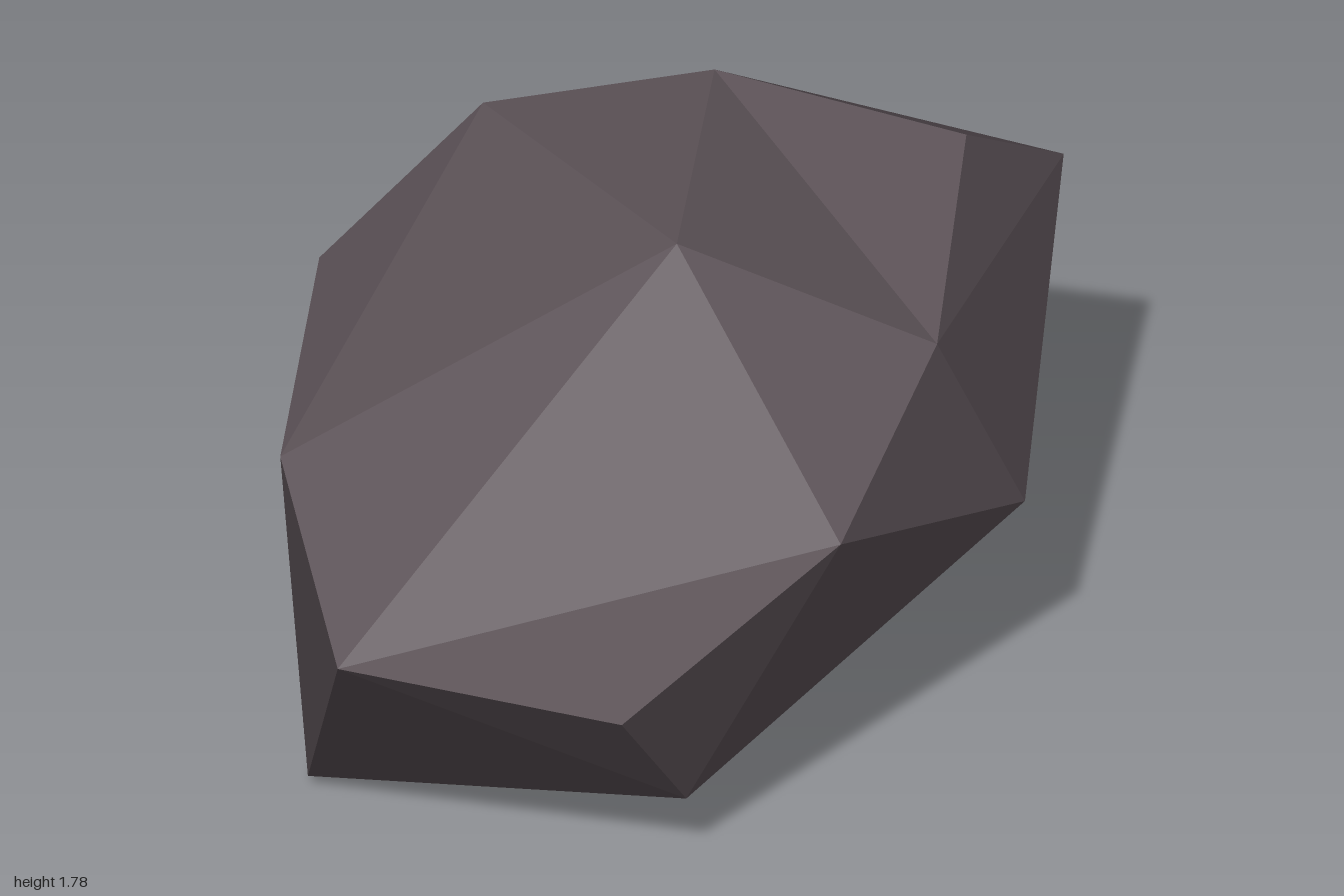
import * as THREE from 'three';

// Corners of an irregular twelve-sided boulder
const corners = {
  A: [0.05, 1.78, 0.24], B: [-0.49, 1.67, -0.43], C: [0.08, 1.75, -0.51], D: [0.71, 1.61, -0.48],
  E: [0.69, 1.43, 0.14], F: [0.49, 1.15, 0.61], G: [-0.73, 0.98, 1.0], H: [-0.03, 0.78, 0.91],
  I: [0.1, 0.28, 0.55], J: [0.04, 0, 0.04], K: [-0.87, 0.04, 0.23], L: [-0.92, 1.21, 0.45],
  M: [-0.88, 1.32, -0.22], N: [0.92, 1.27, -0.86], O: [0.89, 0.78, -0.08], P: [0.01, 1.24, -1.0],
  Q: [0.515, 0.6, -0.81], R: [-0.02, 0.13, -0.53], S: [-0.88, 0.8, -0.49], Z: [-0.58, 0.32, -0.6],
};

// Five-cornered facets, each split as a fan from its first corner
const facets = [
  'CBAED', 'FEAGH', 'EFOND', 'NQPCD', 'LGABM', 'BCPSM', // upper half
  'GLKIH', 'IJOFH', 'SZKLM', 'JIKZR', 'QNOJR', 'PQRZS', // lower half
];

function facetedGeometry() {
  const positions = [];
  for (const f of facets) {
    for (let i = 1; i < f.length - 1; i++) {
      positions.push(...corners[f[0]], ...corners[f[i]], ...corners[f[i + 1]]);
    }
  }
  const geometry = new THREE.BufferGeometry();
  geometry.setAttribute('position', new THREE.Float32BufferAttribute(positions, 3));
  geometry.computeVertexNormals(); // unshared corners give flat facets
  return geometry;
}

export function createModel() {
  const stone = new THREE.MeshStandardMaterial({ color: 0x5b5156, flatShading: true });
  stone.name = 'darkStone';

  const boulder = new THREE.Mesh(facetedGeometry(), stone);
  boulder.name = 'boulder';

  const group = new THREE.Group();
  group.name = 'rock';
  group.add(boulder);
  return group;
}
